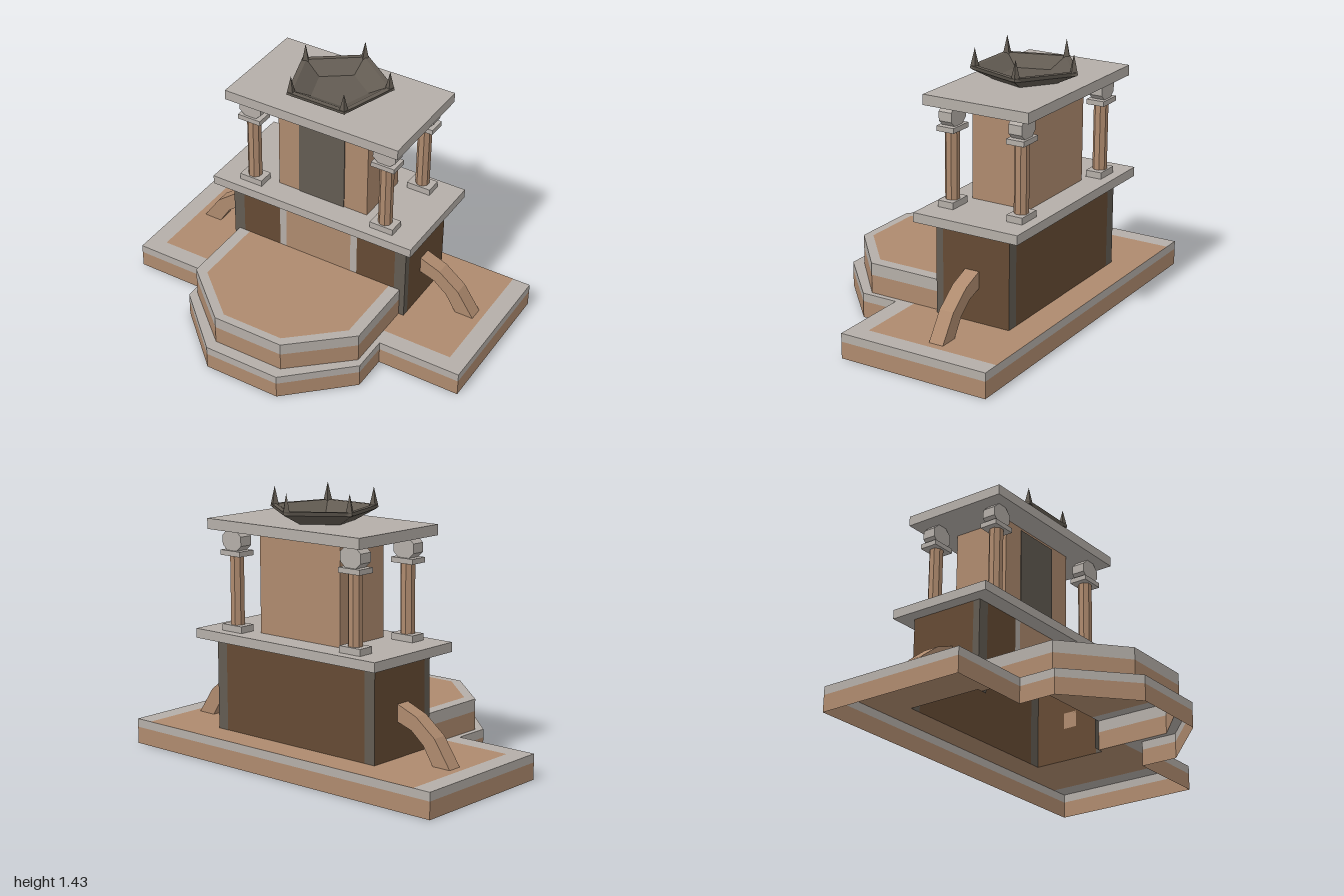
import * as THREE from 'three';

const mat = (name, color) => new THREE.MeshStandardMaterial({ name, color, flatShading: true, side: THREE.DoubleSide });

export function createModel() {
  const model = new THREE.Group();
  model.name = 'shrine';
  const tan = mat('tan stone', 0xae8a6e);
  const pale = mat('pale stone', 0xb4aea8);
  const brown = mat('brown wall', 0x654a33);
  const dark = mat('dark stone', 0x625b52);

  const add = (name, geometry, material, x = 0, y = 0, z = 0, parent = model) => {
    const mesh = new THREE.Mesh(geometry, material);
    mesh.name = name;
    mesh.position.set(x, y, z);
    parent.add(mesh);
    return mesh;
  };
  const box = (name, material, w, y0, y1, d, x, z, parent) =>
    add(name, new THREE.BoxGeometry(w, y1 - y0, d), material, x, (y0 + y1) / 2, z, parent);

  // Mirror a half outline of [x, z] points across x = 0
  const flip = (pts) => pts.map(([x, z]) => [-x, z]).reverse();
  const both = (pts) => [...pts, ...flip(pts)];

  // Flat horizontal sheet from an outline
  const sheet = (name, pts, y, material) => {
    const shape = new THREE.Shape(pts.map(([x, z]) => new THREE.Vector2(x, -z)));
    add(name, new THREE.ShapeGeometry(shape).rotateX(-Math.PI / 2), material, 0, y);
  };

  // Upright wall following an outline
  const wall = (name, pts, y0, y1, material) => {
    const pos = [];
    for (let i = 0; i + 1 < pts.length; i++) {
      const [[ax, az], [bx, bz]] = [pts[i], pts[i + 1]];
      pos.push(ax, y0, az, ax, y1, az, bx, y1, bz, ax, y0, az, bx, y1, bz, bx, y0, bz);
    }
    const g = new THREE.BufferGeometry();
    g.setAttribute('position', new THREE.Float32BufferAttribute(pos, 3));
    g.computeVertexNormals();
    add(name, g, material);
  };

  // Base: open shell with a stepped front
  const baseHalf = [[1, -0.67], [1, 0.165], [0.535, 0.165], [0.535, 0.37], [0.215, 0.67]];
  const base = both(baseHalf);
  const baseLoop = [...base, base[0]];
  wall('baseWall', baseLoop, 0, 0.09, tan);
  wall('baseRim', baseLoop, 0.09, 0.135, pale);
  sheet('baseFloor', both([[0.9, -0.67], [0.9, 0.07], [0.505, 0.07], [0.505, -0.09], [0.535, -0.09], [0.535, -0.515]]), 0.135, tan);
  const innerEdge = both([[0.9, -0.67], [0.9, 0.07], [0.505, 0.07], [0.505, 0.335], [0.2, 0.605]]).reverse();
  sheet('baseBorder', [...base, ...innerEdge], 0.135, pale);

  // Raised front platform
  const platform = both([[0.505, -0.09], [0.505, 0.335], [0.2, 0.605]]);
  const platformTop = both([[0.44, -0.09], [0.44, 0.325], [0.175, 0.56]]);
  wall('platformWall', platform, 0.135, 0.235, tan);
  wall('platformRim', platform, 0.235, 0.3, pale);
  sheet('platformFloor', platformTop, 0.3, tan);
  sheet('platformBorder', [...platform, ...platformTop.slice().reverse()], 0.3, pale);

  // Lower chamber walls
  wall('chamberFrontPanel', [[0.2, -0.09], [-0.2, -0.09]], 0.3, 0.625, tan);
  wall('chamberBackWall', [[-0.47, -0.515], [0.47, -0.515]], 0.135, 0.625, brown);
  for (const s of [1, -1]) {
    const m = (pts) => (s > 0 ? pts : flip(pts));
    const side = s > 0 ? 'left' : 'right';
    wall(side + 'FrontCorner', m([[0.535, -0.13], [0.535, -0.09], [0.47, -0.09]]), 0.135, 0.625, dark);
    wall(side + 'BackCorner', m([[0.47, -0.515], [0.535, -0.515]]), 0.135, 0.625, dark);
    wall(side + 'ChamberSide', m([[0.535, -0.515], [0.535, -0.13]]), 0.135, 0.625, brown);
    wall(side + 'ChamberFront', m([[0.47, -0.09], [0.24, -0.09]]), 0.3, 0.625, brown);
    wall(side + 'PanelFrame', m([[0.24, -0.09], [0.2, -0.09]]), 0.3, 0.625, pale);

    // Curved buttress
    const arch = [[0.535, 0.41], [0.65, 0.365], [0.765, 0.275], [0.86, 0.135], [0.755, 0.135], [0.695, 0.23], [0.62, 0.292], [0.535, 0.32]];
    const shape = new THREE.Shape(arch.map(([x, y]) => new THREE.Vector2(x * s, y)));
    add(side + 'Buttress', new THREE.ExtrudeGeometry(shape, { depth: 0.08, bevelEnabled: false }), tan, 0, 0, -0.34);
  }

  // Slabs and upper tower
  box('middleSlab', pale, 1.21, 0.625, 0.675, 0.6, 0, -0.3);
  box('tower', tan, 0.54, 0.675, 1.205, 0.33, 0, -0.3);
  box('doorway', dark, 0.275, 0.675, 1.19, 0.006, -0.005, -0.133);
  box('roofSlab', pale, 1.02, 1.205, 1.26, 0.6, 0, -0.3);

  // Four columns
  for (const x of [-0.4, 0.4]) {
    for (const z of [-0.1, -0.5]) {
      const column = new THREE.Group();
      column.name = 'column';
      column.position.set(x, 0, z);
      model.add(column);
      box('columnFoot', pale, 0.135, 0.675, 0.71, 0.09, 0, 0, column);
      const shaft = new THREE.CylinderGeometry(0.038, 0.038, 0.36, 8).rotateY(Math.PI / 8);
      add('columnShaft', shaft, tan, 0, 0.89, 0, column);
      box('columnCollar', pale, 0.135, 1.07, 1.097, 0.1, 0, 0, column);
      const scroll = new THREE.CylinderGeometry(0.07, 0.07, 0.074, 8).rotateY(Math.PI / 8).rotateX(Math.PI / 2);
      add('columnCapital', scroll.scale(1, 0.9, 1), pale, 0, 1.148, 0, column);
    }
  }

  // Five-sided fire bowl with spikes on its rim
  const bowl = new THREE.Group();
  bowl.name = 'bowl';
  bowl.position.set(0, 1.26, -0.29);
  model.add(bowl);
  const profile = [[0, 0.001], [0.17, 0.001], [0.28, 0.055], [0.288, 0.075], [0.258, 0.075], [0.155, 0.02], [0, 0.02]];
  const points = profile.map(([r, y]) => new THREE.Vector2(r, y));
  add('bowlBody', new THREE.LatheGeometry(points, 5, Math.PI), dark, 0, 0, 0, bowl);
  for (let i = 0; i < 5; i++) {
    const a = Math.PI + (i * Math.PI * 2) / 5;
    const spike = new THREE.ConeGeometry(0.025, 0.105, 4).rotateY(a);
    add('spike', spike, dark, Math.sin(a) * 0.265, 0.113, Math.cos(a) * 0.265, bowl);
  }
  return model;
}
